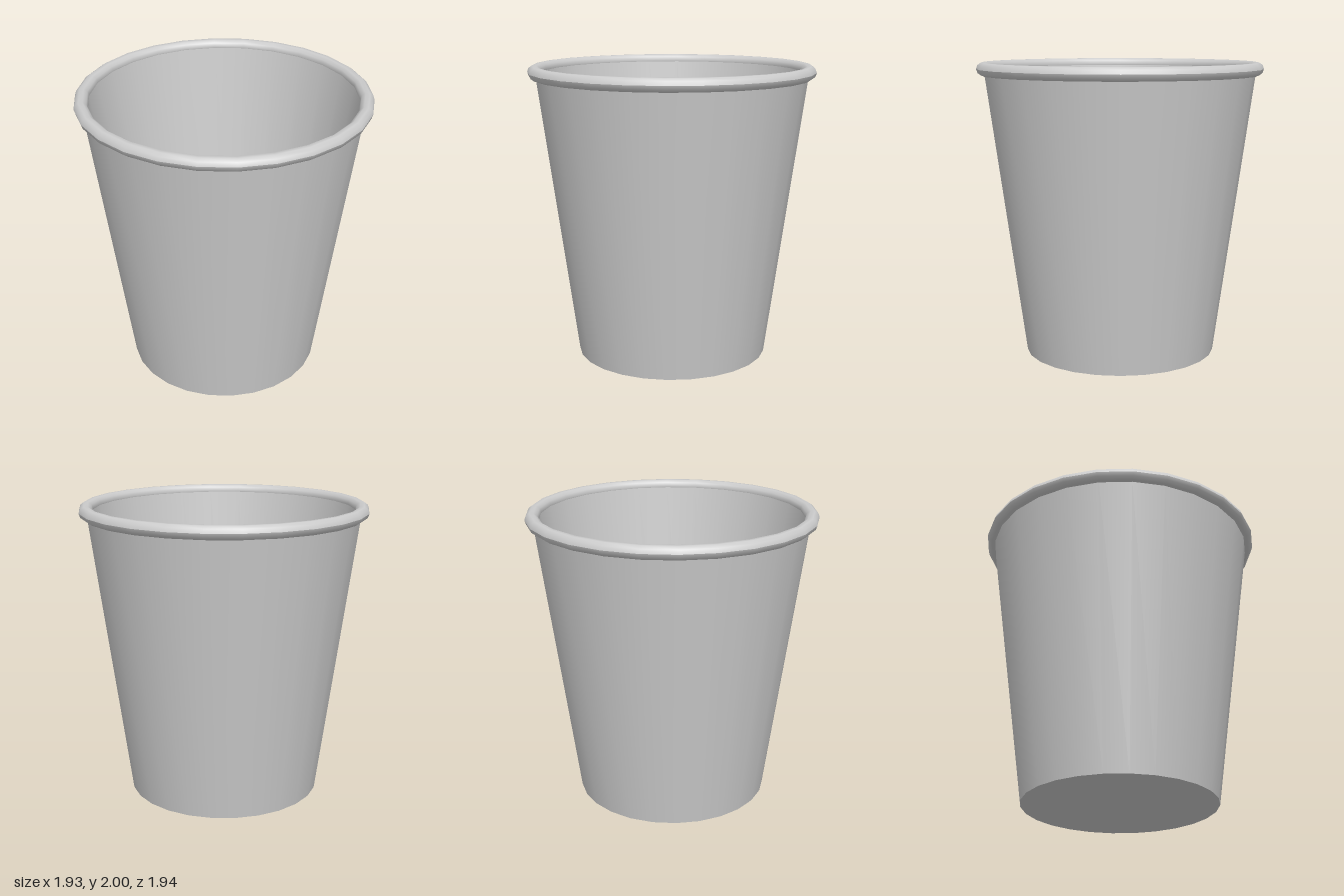
import * as THREE from 'three';

const SIDES = 26;
const material = new THREE.MeshStandardMaterial({ color: 0xcccccc });

// Revolve a list of [radius, height] pairs; separate parts keep the creases sharp
function revolve(name, profile) {
  const points = profile.map(([r, y]) => new THREE.Vector2(r, y));
  const mesh = new THREE.Mesh(new THREE.LatheGeometry(points, SIDES), material);
  mesh.name = name;
  return mesh;
}

export function createModel() {
  const cup = new THREE.Group();
  cup.name = 'cup';

  // Tapered wall, outside running up and inside running down
  cup.add(revolve('outerWall', [[0.655, 0], [0.917, 1.93]]));
  cup.add(revolve('innerWall', [[0.882, 1.96], [0.585, 0.04]]));

  // Underside and inner floor
  cup.add(revolve('base', [[0, 0], [0.655, 0]]));
  cup.add(revolve('floor', [[0.585, 0.04], [0, 0.04]]));

  // Rolled rim: a closed round bead
  const bead = [];
  const steps = 10;
  for (let i = 0; i <= steps; i++) {
    const a = (i / steps) * Math.PI * 2;
    bead.push([0.924 + 0.046 * Math.cos(a), 1.957 + 0.0452 * Math.sin(a)]);
  }
  cup.add(revolve('rim', bead));

  return cup;
}
